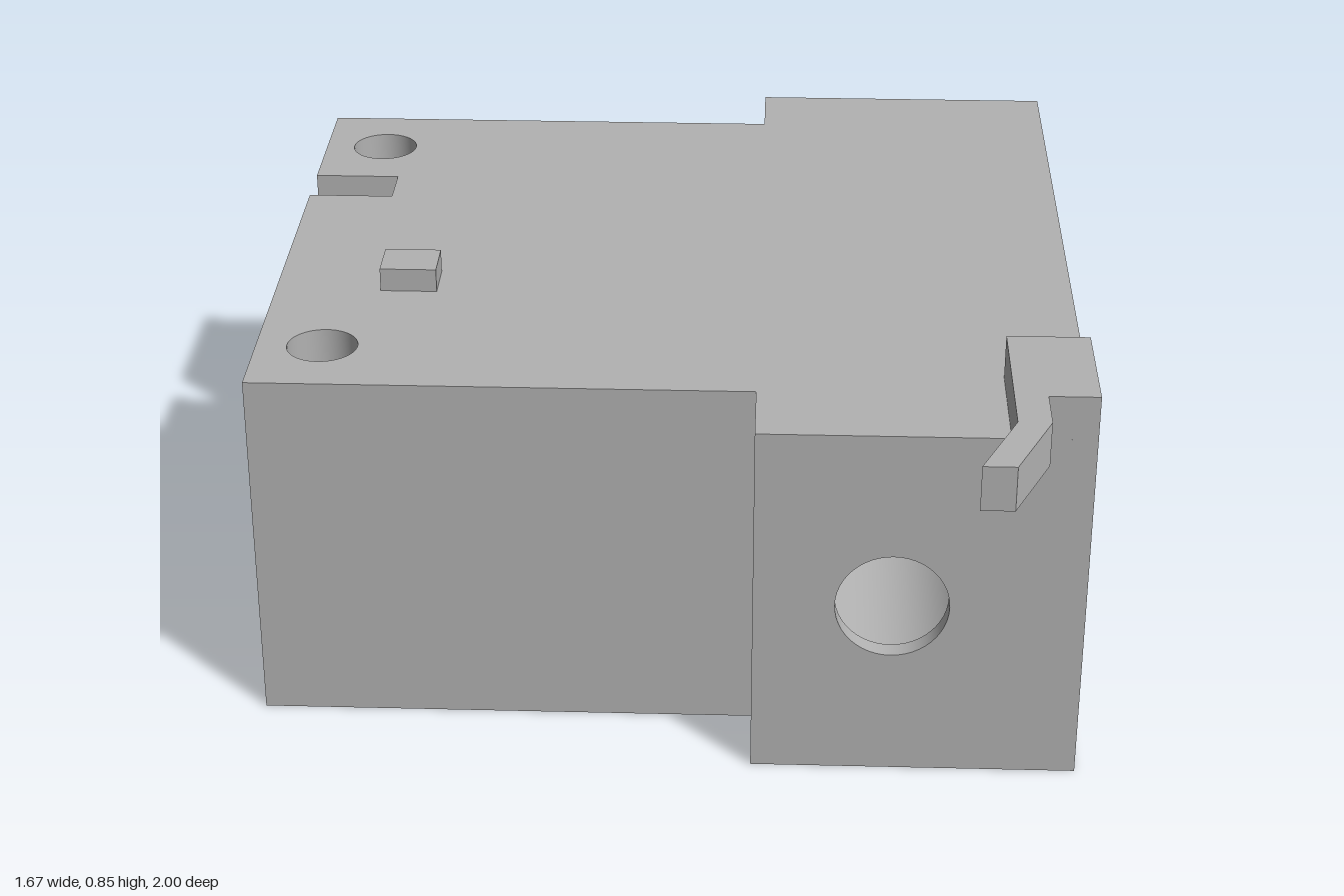
import * as THREE from 'three';

const H = 0.76, LEFT = 0.835, RIGHT = -0.835, FRONT = 0.72, BACK = -1;
const STEP_X = 0.18, STEP_FRONT = 0.545, STEP_BACK = -0.83;
const SLOT = { x: -0.65, z0: -0.485, z1: -0.375, y: 0.285 };
const BORE = { x: 0.455, y: 0.38, r: 0.19, mouth: 0.113, lip: 0.68 };
const AXES = {
  x: new THREE.Vector3(1, 0, 0), y: new THREE.Vector3(0, 1, 0), z: new THREE.Vector3(0, 0, 1),
};
// in-plane axes of a panel facing each axis
const PLANE = { x: ['z', 'y'], y: ['x', 'z'], z: ['x', 'y'] };

export function createModel() {
  const group = new THREE.Group();
  const grey = new THREE.MeshStandardMaterial({ color: 0xb2b2b2, side: THREE.DoubleSide });
  grey.name = 'grey';

  const add = (name, geometry) => {
    const mesh = new THREE.Mesh(geometry, grey);
    mesh.name = name;
    group.add(mesh);
    return mesh;
  };

  // flat panel facing sign * axis, with round holes given as [a, b, radius]
  const panel = (name, axis, at, sign, points, holes = []) => {
    const shape = new THREE.Shape(points.map(([a, b]) => new THREE.Vector2(a, b)));
    for (const [a, b, r] of holes) shape.holes.push(new THREE.Path().absarc(a, b, r, 0, Math.PI * 2));
    const geometry = new THREE.ShapeGeometry(shape, 24);
    const [u, v] = PLANE[axis];
    const matrix = new THREE.Matrix4().makeBasis(AXES[u], AXES[v], AXES[axis].clone().multiplyScalar(sign));
    if (matrix.determinant() < 0) geometry.index.array.reverse();
    matrix.setPosition(AXES[axis].clone().multiplyScalar(at));
    geometry.applyMatrix4(matrix);
    return add(name, geometry);
  };
  const rect = (a0, a1, b0, b1) => [[a0, b0], [a1, b0], [a1, b1], [a0, b1]];

  // inner wall of a round hole running along an axis
  const bore = (name, axis, from, to, [a, b, r]) => {
    const geometry = new THREE.CylinderGeometry(r, r, to - from, 48, 1, true);
    if (axis === 'x') geometry.rotateZ(Math.PI / 2);
    if (axis === 'z') geometry.rotateX(Math.PI / 2);
    const mesh = add(name, geometry);
    const [u, v] = PLANE[axis];
    mesh.position[axis] = (from + to) / 2;
    mesh.position[u] = a;
    mesh.position[v] = b;
  };

  // hole layouts
  const sideHoles = [];
  for (const z of [0.125, -0.05, -0.222]) for (const y of [0.09, 0.675]) sideHoles.push([z, y, 0.041]);
  const postHoles = [[-0.7, -0.66, 0.072], [-0.7, 0.375, 0.072]];
  const screwHoles = [];
  for (const dx of [-0.225, 0.225]) for (const dy of [-0.225, 0.225]) {
    screwHoles.push([BORE.x + dx, BORE.y + dy, 0.033]);
  }
  const mainBore = [BORE.x, BORE.y, BORE.r];
  const mouth = [BORE.x, BORE.y, BORE.mouth];

  // top and bottom
  const outline = [
    [RIGHT, STEP_FRONT], [STEP_X, STEP_FRONT], [STEP_X, FRONT], [LEFT, FRONT],
    [LEFT, BACK], [STEP_X, BACK], [STEP_X, STEP_BACK], [RIGHT, STEP_BACK],
  ];
  const slotNotch = [[RIGHT, SLOT.z0], [SLOT.x, SLOT.z0], [SLOT.x, SLOT.z1], [RIGHT, SLOT.z1]];
  panel('bodyTop', 'y', H, 1, [...outline, ...slotNotch], postHoles);
  panel('bodyBottom', 'y', 0, -1, outline, postHoles);

  // side walls
  panel('leftWall', 'x', LEFT, 1, rect(BACK, FRONT, 0, H), sideHoles);
  panel('rightWall', 'x', RIGHT, -1, [
    [STEP_BACK, 0], [STEP_FRONT, 0], [STEP_FRONT, H], [SLOT.z1, H],
    [SLOT.z1, SLOT.y], [SLOT.z0, SLOT.y], [SLOT.z0, H], [STEP_BACK, H],
  ], sideHoles);

  // front and back walls, with the steps between them
  panel('frontWall', 'z', STEP_FRONT, 1, rect(RIGHT, STEP_X, 0, H));
  panel('frontBoreWall', 'z', FRONT, 1, rect(STEP_X, LEFT, 0, H), [mouth]);
  panel('frontStep', 'x', STEP_X, -1, rect(STEP_FRONT, FRONT, 0, H));
  panel('backWall', 'z', STEP_BACK, -1, rect(RIGHT, STEP_X, 0, H));
  panel('backBoreWall', 'z', BACK, -1, rect(STEP_X, LEFT, 0, H), [mainBore, ...screwHoles]);
  panel('backStep', 'x', STEP_X, -1, rect(BACK, STEP_BACK, 0, H));

  // slot in the right side
  panel('slotEnd', 'x', SLOT.x, -1, rect(SLOT.z0, SLOT.z1, SLOT.y, H));
  panel('slotFloor', 'y', SLOT.y, 1, rect(RIGHT, SLOT.x, SLOT.z0, SLOT.z1));
  panel('slotBackCheek', 'z', SLOT.z0, 1, rect(RIGHT, SLOT.x, SLOT.y, H));
  panel('slotFrontCheek', 'z', SLOT.z1, -1, rect(RIGHT, SLOT.x, SLOT.y, H));

  // hole walls
  for (const hole of sideHoles) bore('sideHole', 'x', RIGHT, LEFT, hole);
  for (const hole of postHoles) bore('postHole', 'y', 0, H, hole);
  bore('mainBore', 'z', BACK, BORE.lip, mainBore);
  bore('boreMouth', 'z', BORE.lip, FRONT, mouth);
  const lip = add('boreLip', new THREE.RingGeometry(BORE.mouth, BORE.r, 48));
  lip.rotation.y = Math.PI;
  lip.position.set(BORE.x, BORE.y, BORE.lip);
  for (const hole of screwHoles) {
    bore('screwHole', 'z', BACK, BACK + 0.25, hole);
    const end = add('screwHoleEnd', new THREE.CircleGeometry(hole[2], 48));
    end.rotation.y = Math.PI;
    end.position.set(hole[0], hole[1], BACK + 0.25);
  }

  // small stop on the top
  const stop = add('stop', new THREE.BoxGeometry(0.118, 0.05, 0.1));
  stop.position.set(-0.555, H + 0.025, 0.065);

  // bent lever on the front left corner
  const leverShape = new THREE.Shape([
    [0.67, 0.465], [0.835, 0.465], [0.835, 0.72], [0.735, 0.72],
    [0.735, 0.825], [0.66, 1], [0.595, 1], [0.67, 0.825],
  ].map(([x, z]) => new THREE.Vector2(x, -z)));
  const lever = new THREE.ExtrudeGeometry(leverShape, { depth: 0.092, bevelEnabled: false });
  lever.rotateX(-Math.PI / 2);
  add('lever', lever).position.y = H;

  return group;
}
